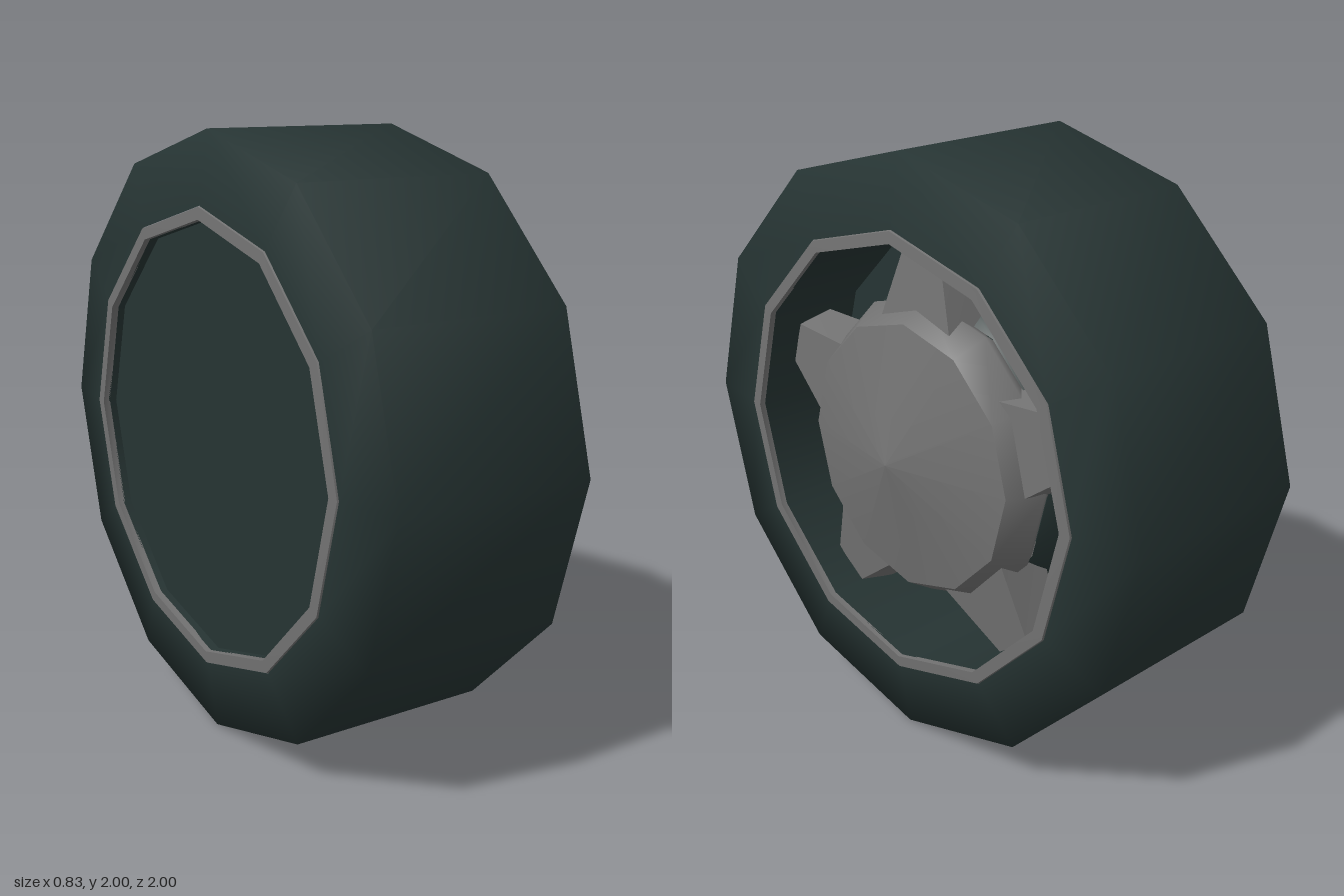
import * as THREE from 'three';
import { toCreasedNormals } from 'three/addons/utils/BufferGeometryUtils.js';

const SIDES = 12;

export function createModel() {
  const rubber = new THREE.MeshStandardMaterial({ color: 0x263433 });
  rubber.name = 'darkRubber';
  const metal = new THREE.MeshStandardMaterial({ color: 0x727272 });
  metal.name = 'greyMetal';

  const wheel = new THREE.Group();
  wheel.name = 'wheel';
  wheel.position.y = 1; // axle height

  const add = (name, geometry, material) => {
    const mesh = new THREE.Mesh(geometry, material);
    mesh.name = name;
    wheel.add(mesh);
    return mesh;
  };

  // Twelve-sided ring of revolution about the x axis; profile is [radius, x]
  const turned = (name, profile, material, crease = 0) => {
    let g = new THREE.LatheGeometry(profile.map(([r, x]) => new THREE.Vector2(r, x)), SIDES);
    g.rotateZ(-Math.PI / 2);
    if (crease) g = toCreasedNormals(g, crease);
    return add(name, g, material);
  };

  // Tyre: softly shaded tread and sidewalls
  turned('tyre', [[0.765, -0.413], [1, -0.38], [1, 0.33], [0.765, 0.368]], rubber);

  // Rim lips on both faces
  turned('outerRimLip', [[0.765, 0.36], [0.762, 0.374], [0.722, 0.377], [0.722, 0.355]], metal, 0.6);
  turned('innerRimLip', [[0.722, -0.395], [0.722, -0.42], [0.762, -0.418], [0.765, -0.405]], metal, 0.6);

  // Rim well: wall and floor of the outer recess
  turned('wellWall', [[0.722, 0.36], [0.722, 0]], rubber);
  turned('wellFloor', [[0.722, 0], [0, 0]], rubber);

  // Shallow closed back
  turned('backDisc', [[0, -0.37], [0.722, -0.37]], rubber);
  turned('backWall', [[0.722, -0.37], [0.722, -0.4]], rubber);

  // Hub: dark base, bevelled edge and slightly domed cap
  turned('hubBase', [[0.56, 0], [0.56, 0.1], [0.5, 0.18]], rubber);
  turned('hubBevel', [[0.49, 0.17], [0.52, 0.22], [0.455, 0.325]], metal);
  turned('hubCap', [[0.455, 0.325], [0, 0.415]], metal);

  // Five tapered spokes, wider at the hub and at the back
  const spoke = new THREE.BoxGeometry(1, 1, 1);
  const p = spoke.attributes.position;
  for (let i = 0; i < p.count; i++) {
    const front = p.getX(i) > 0, outer = p.getY(i) > 0;
    const side = Math.sign(p.getZ(i));
    const x = front ? (outer ? 0.24 : 0.28) : 0.11;
    const r = outer ? (front ? 0.7 : 0.715) : 0.42;
    const half = (outer ? 0.075 : 0.165) + (front ? 0 : 0.025);
    p.setXYZ(i, x, r, side * half);
  }
  spoke.computeVertexNormals();
  for (let i = 0; i < 5; i++) {
    add('spoke' + (i + 1), spoke, metal).rotation.x = (i * Math.PI * 2) / 5;
  }

  const model = new THREE.Group();
  model.name = 'wheelModel';
  model.add(wheel);
  return model;
}
